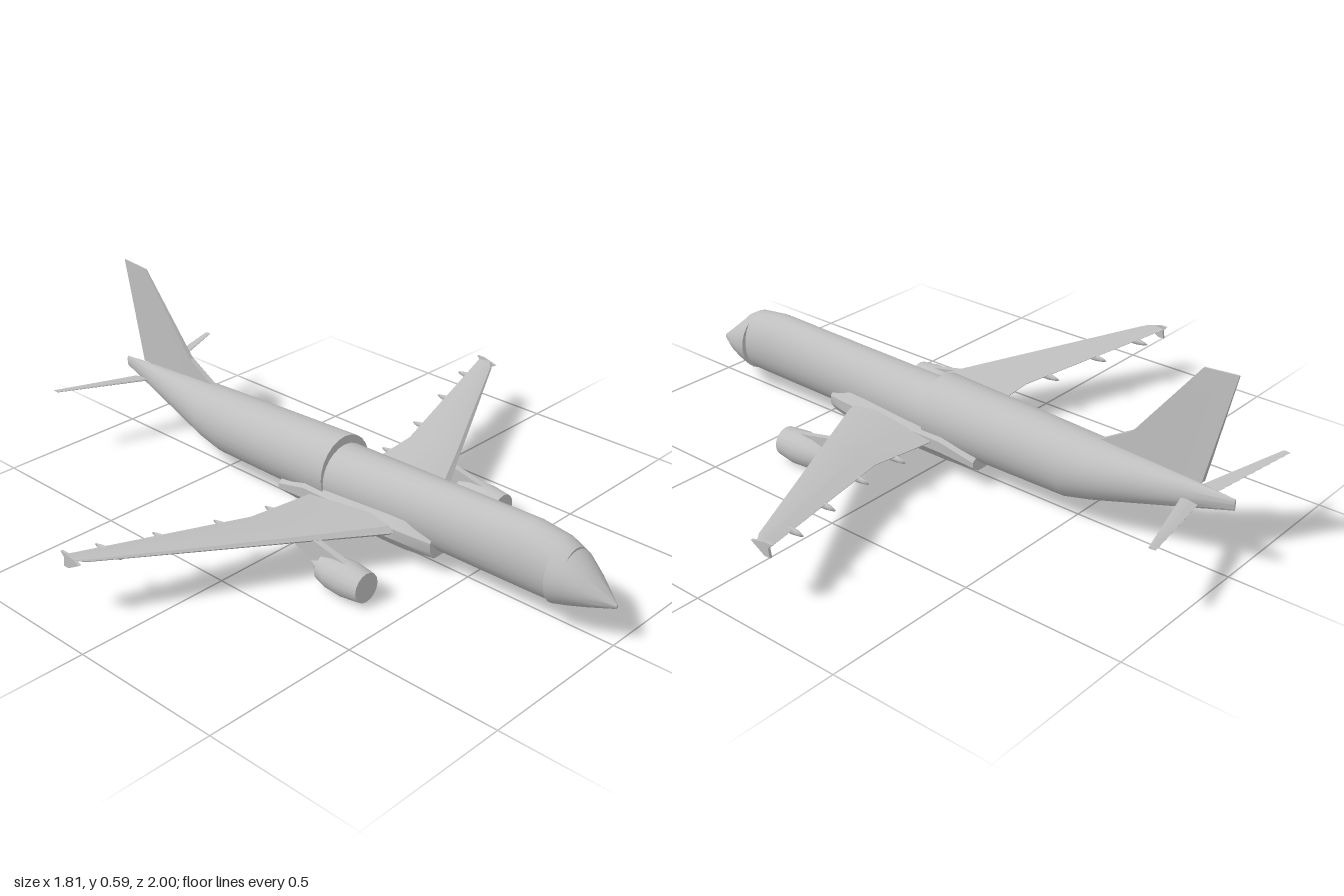
import * as THREE from 'three';
import { toCreasedNormals } from 'three/addons/utils/BufferGeometryUtils.js';

const grey = new THREE.MeshStandardMaterial({ color: 0xbfbfbf });
grey.name = 'airframe grey';

// Closed skin through equal-length rings of [x, y, z], capped at both ends.
function loft(rings, crease = 0.6) {
  const n = rings[0].length, pts = [], tris = [];
  const centre = r => [0, 1, 2].map(k => r.reduce((s, p) => s + p[k], 0) / n);
  rings.forEach(r => r.forEach(p => pts.push(p)));
  const last = rings.length - 1, c0 = pts.length;
  pts.push(centre(rings[0]), centre(rings[last]));
  for (let j = 0; j < n; j++) {
    const k = (j + 1) % n;
    for (let i = 0; i < last; i++) {
      const a = i * n + j, b = i * n + k;
      tris.push([a, b, a + n], [b, b + n, a + n]);
    }
    tris.push([c0, k, j], [c0 + 1, last * n + j, last * n + k]);
  }
  // Turn the faces outward whichever way the rings run.
  const V = i => new THREE.Vector3(...pts[i]);
  const o = V(c0);
  const volume = tris.reduce((s, [a, b, c]) =>
    s + V(a).sub(o).dot(V(b).sub(o).cross(V(c).sub(o))), 0);
  if (volume < 0) tris.forEach(t => t.reverse());
  const g = new THREE.BufferGeometry();
  g.setAttribute('position', new THREE.Float32BufferAttribute(pts.flat(), 3));
  g.setIndex(tris.flat());
  return toCreasedNormals(g, crease);
}

// Body of oval sections: [z, bottom, top, half width]
function body(sections, n = 24) {
  return loft(sections.map(([z, b, t, w]) => Array.from({ length: n }, (_, i) => {
    const a = i / n * Math.PI * 2;
    return [Math.sin(a) * w, (b + t) / 2 + Math.cos(a) * (t - b) / 2, z];
  })));
}

// Wing of aerofoil sections: [x, leading z, trailing z, y, thickness]
const foil = [[0, 0], [0.06, 0.35], [0.3, 0.55], [0.65, 0.35], [1, 0.03],
  [1, -0.03], [0.65, -0.25], [0.3, -0.45], [0.06, -0.3]];
const wing = sections => loft(sections.map(([x, le, te, y, t]) =>
  foil.map(([f, h]) => [x, y + h * t, le + (te - le) * f])));

// Flat slab from a [z, y] outline, centred on x.
function slab(outline, x, thick) {
  return loft([-thick / 2, thick / 2].map(d => outline.map(([z, y]) => [x + d, y, z])), 0.3);
}

// Same geometry on the other side of the aircraft.
function mirrored(geometry) {
  const g = geometry.index ? geometry.toNonIndexed() : geometry.clone();
  for (const name of ['position', 'normal']) {
    const a = g.attributes[name];
    for (let i = 0; i < a.count; i += 3) {
      const p = [0, 1, 2].map(k => [-a.getX(i + k), a.getY(i + k), a.getZ(i + k)]);
      a.setXYZ(i, ...p[0]);
      a.setXYZ(i + 1, ...p[2]);
      a.setXYZ(i + 2, ...p[1]);
    }
  }
  return g;
}

export function createModel() {
  const model = new THREE.Group();
  model.name = 'airliner';
  const add = (name, geometry) => {
    const mesh = new THREE.Mesh(geometry, grey);
    mesh.name = name;
    model.add(mesh);
  };
  const addPair = (name, geometry) => {
    add('left' + name, geometry);
    add('right' + name, mirrored(geometry));
  };

  // Fuselage: flared nose, slim front half, fuller rear half
  add('nose', body([
    [1, 0.122, 0.134, 0.004], [0.96, 0.11, 0.165, 0.03], [0.92, 0.098, 0.197, 0.055],
    [0.87, 0.083, 0.238, 0.078], [0.82, 0.068, 0.262, 0.088]]));
  add('frontFuselage', body([
    [0.86, 0.085, 0.25, 0.068], [0.82, 0.068, 0.272, 0.074], [0.72, 0.066, 0.285, 0.076],
    [0.4, 0.065, 0.276, 0.082], [0, 0.065, 0.263, 0.098]]));
  add('rearFuselage', body([
    [0.015, 0.065, 0.291, 0.106], [-0.3, 0.065, 0.28, 0.098], [-0.48, 0.065, 0.273, 0.092],
    [-0.57, 0.088, 0.269, 0.087], [-0.7, 0.125, 0.263, 0.062], [-0.85, 0.168, 0.255, 0.033],
    [-1, 0.212, 0.247, 0.003]]));

  // Flat-bottomed fairing under the wing roots
  add('bellyFairing', loft([
    [0.42, 0.72, 0.8], [0.33, 0.97, 1], [0.27, 1, 1], [-0.06, 1, 1], [-0.18, 0.85, 0.5],
  ].map(([z, w, h]) => [
    [0.08, 0], [0.107, 0.035], [0.108, 0.07], [0.085, 0.1],
    [-0.085, 0.1], [-0.108, 0.07], [-0.107, 0.035], [-0.08, 0],
  ].map(([x, y]) => [x * w, 0.06 + y * h, z]))));

  // Main wings with a straight inboard trailing edge
  addPair('Wing', wing([
    [0.05, 0.335, -0.03, 0.115, 0.05], [0.12, 0.3, -0.03, 0.12, 0.045],
    [0.35, 0.174, -0.03, 0.142, 0.03], [0.87, -0.11, -0.178, 0.19, 0.012],
    [0.9, -0.135, -0.187, 0.193, 0.008]]));
  addPair('WingtipFence', slab(
    [[-0.115, 0.188], [-0.17, 0.203], [-0.195, 0.203], [-0.18, 0.188], [-0.185, 0.16], [-0.165, 0.16]],
    0.9, 0.008));

  // Pointed flap track fairings below the trailing edge
  [[0.26, -0.03, 0.125], [0.44, -0.056, 0.143], [0.625, -0.108, 0.16], [0.79, -0.155, 0.176]]
    .forEach(([x, z, y], i) => {
      const g = new THREE.SphereGeometry(1, 8, 6);
      g.scale(0.008, 0.011, 0.06).translate(x, y, z + 0.022);
      addPair('FlapFairing' + (i + 1), g);
    });

  // Engines: nacelle, exhaust core and pylon
  const turned = (profile, z) => toCreasedNormals(
    new THREE.LatheGeometry(profile.map(p => new THREE.Vector2(...p)), 16)
      .rotateX(Math.PI / 2).translate(0.307, 0.06, z), 0.6);
  addPair('Nacelle', turned([[0, 0], [0.04, 0], [0.05, 0.04], [0.054, 0.1], [0.046, 0.165], [0, 0.165]], 0.22));
  addPair('ExhaustCore', turned([[0, 0], [0.018, 0.025], [0.03, 0.08], [0, 0.08]], 0.17));
  addPair('Pylon', slab(
    [[0.33, 0.108], [0.26, 0.122], [0.18, 0.14], [0.02, 0.142], [0.08, 0.112], [0.18, 0.072], [0.3, 0.075]],
    0.307, 0.02));

  // Tail surfaces
  addPair('Tailplane', wing([
    [0.04, -0.857, -0.912, 0.213, 0.01], [0.333, -0.952, -0.974, 0.238, 0.004]]));
  const finOutline = [[-0.57, 0.278], [-0.67, 0.335], [-0.875, 0.592], [-0.98, 0.6], [-0.9, 0.262]];
  add('fin', loft([-1, 1].map(s => finOutline.map(([z, y]) =>
    [s * (0.009 - (y - 0.26) * 0.02), y, z])), 0.3));

  return model;
}
